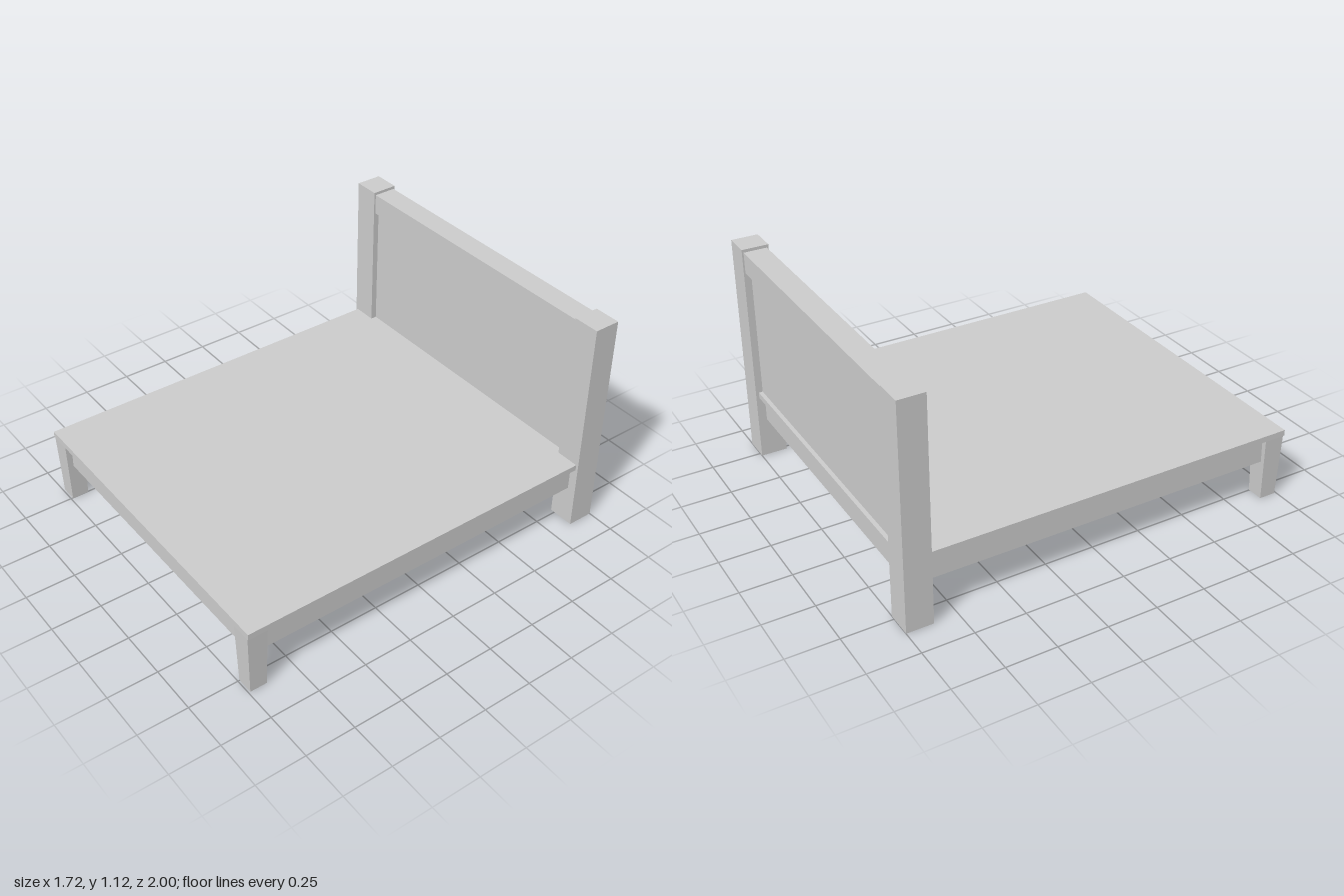
import * as THREE from 'three';

const material = new THREE.MeshStandardMaterial({ color: 0xcccccc, flatShading: true });

// Box given by its [min, max] extents on each axis
function box(name, [x0, x1], [y0, y1], [z0, z1]) {
  const geometry = new THREE.BoxGeometry(x1 - x0, y1 - y0, z1 - z0);
  geometry.translate((x0 + x1) / 2, (y0 + y1) / 2, (z0 + z1) / 2);
  const mesh = new THREE.Mesh(geometry, material);
  mesh.name = name;
  return mesh;
}

// Square leg that narrows towards the floor
function taperedLeg(name, width, height, depth, taper) {
  const geometry = new THREE.BoxGeometry(width, height, depth);
  const p = geometry.attributes.position;
  for (let i = 0; i < p.count; i++) {
    if (p.getY(i) < 0) p.setXYZ(i, p.getX(i) * taper, p.getY(i), p.getZ(i) * taper);
  }
  geometry.computeVertexNormals();
  const mesh = new THREE.Mesh(geometry, material);
  mesh.name = name;
  return mesh;
}

export function createModel() {
  const bed = new THREE.Group();
  bed.name = 'bed';

  // Platform and the apron frame below it
  bed.add(box('platform', [-0.847, 0.847], [0.33, 0.36], [-0.985, 1]));
  bed.add(box('apron', [-0.815, 0.815], [0.2, 0.33], [-0.957, 0.967]));

  // Headboard: recessed panel, top rail and two posts
  const headboard = new THREE.Group();
  headboard.name = 'headboard';
  headboard.add(box('headboardPanel', [-0.73, 0.73], [0.33, 1.01], [-0.965, -0.898]));
  headboard.add(box('topRail', [-0.73, 0.73], [1.005, 1.11], [-0.992, -0.877]));
  bed.add(headboard);

  for (const [side, s] of [['left', 1], ['right', -1]]) {
    const xs = s > 0 ? [0.727, 0.86] : [-0.86, -0.727];
    headboard.add(box(side + 'Post', xs, [0, 1.125], [-1, -0.868]));

    // Front legs
    const leg = taperedLeg(side + 'FrontLeg', 0.102, 0.33, 0.102, 0.83);
    leg.position.set(s * 0.789, 0.165, 0.948);
    bed.add(leg);
  }
  return bed;
}
